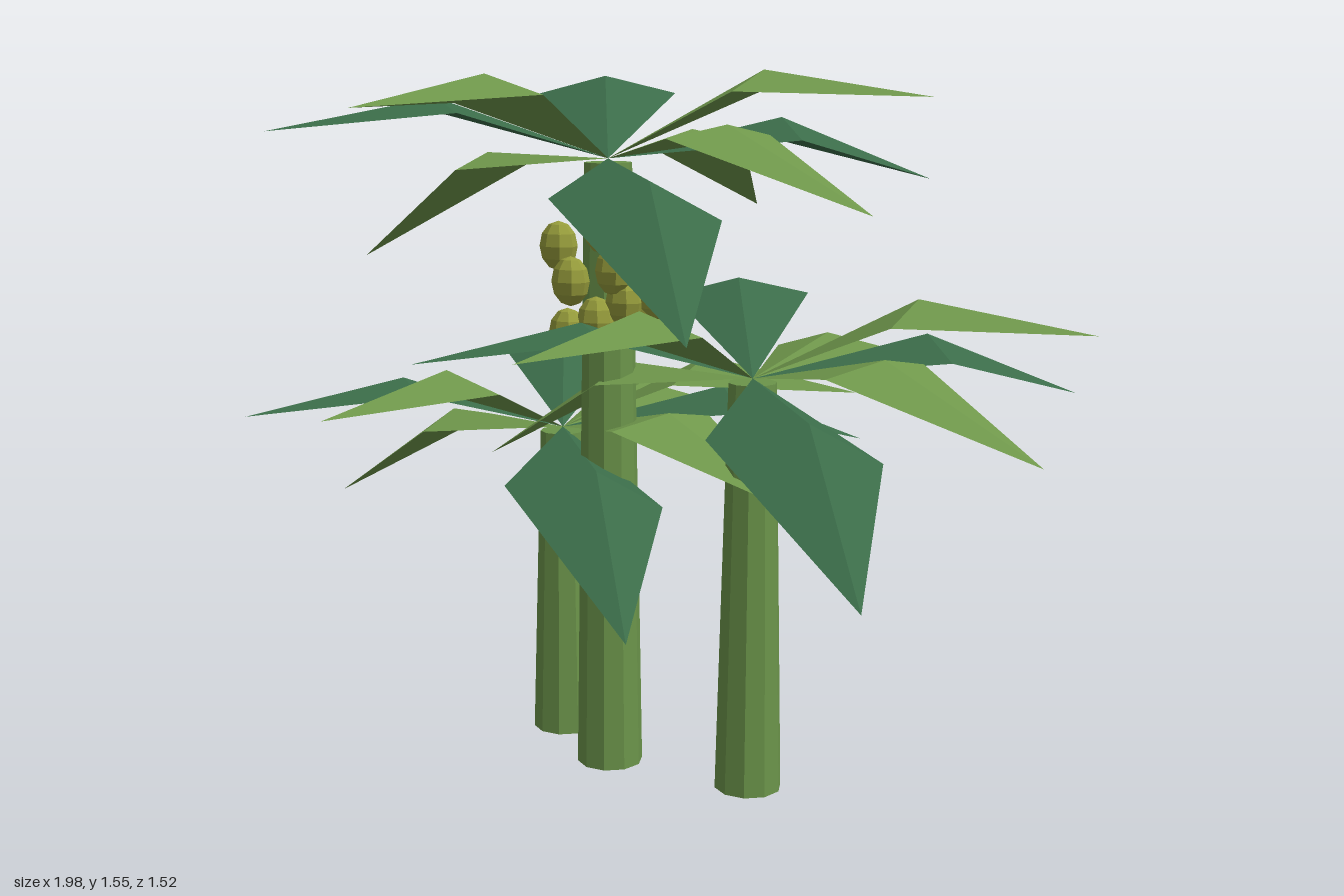
import * as THREE from 'three';

const mat = (name, color, side = THREE.FrontSide) =>
  new THREE.MeshStandardMaterial({ name, color, side, flatShading: true });

// Each frond is a folded blade: left corner, raised ridge, right corner, tip,
// all measured from the crown point.
const LIGHT_FRONDS = [
  [[-0.11, 0.12, 0.33], [0.025, 0.18, 0.36], [0.165, 0.14, 0.33], [0.055, 0.12, 0.71]],
  [[-0.355, -0.03, -0.08], [-0.34, 0.003, 0.05], [-0.295, -0.03, 0.18], [-0.715, -0.253, 0.12]],
  [[0.02, 0.025, -0.41], [-0.095, 0.05, -0.36], [-0.22, 0.01, -0.335], [-0.195, -0.146, -0.7]],
  [[0.315, 0.055, 0.145], [0.345, 0.08, 0], [0.34, 0.055, -0.135], [0.71, -0.082, -0.01]],
  [[0.365, 0.145, 0.01], [0.33, 0.187, -0.125], [0.27, 0.16, -0.25], [0.665, 0.135, -0.25]],
];
const DARK_FRONDS = [
  [[0.165, -0.06, 0.32], [0.315, -0.025, 0.19], [0.425, -0.1, 0.1], [0.6, -0.3, 0.38]],
  [[-0.29, 0.1, 0.25], [-0.195, 0.13, 0.31], [-0.1, 0.1, 0.33], [-0.335, 0.065, 0.64]],
  [[-0.18, 0.13, -0.39], [-0.265, 0.17, -0.245], [-0.38, 0.13, -0.145], [-0.53, 0.105, -0.488]],
  [[0.325, 0.04, -0.255], [0.215, 0.085, -0.315], [0.105, 0.04, -0.375], [0.425, -0.05, -0.573]],
];

function frondGeometry([left, ridge, right, tip]) {
  const base = [0, 0, 0];
  const faces = [base, left, ridge, base, ridge, right, left, tip, ridge, ridge, tip, right];
  const geo = new THREE.BufferGeometry();
  geo.setAttribute('position', new THREE.Float32BufferAttribute(faces.flat(), 3));
  geo.computeVertexNormals();
  return geo;
}

function addMesh(parent, name, geometry, material) {
  const mesh = new THREE.Mesh(geometry, material);
  mesh.name = name;
  parent.add(mesh);
  return mesh;
}

export function createModel() {
  const model = new THREE.Group();
  model.name = 'palmCluster';
  const trunkGreen = mat('trunkGreen', 0x6b944a);
  const lightLeaf = mat('lightLeaf', 0x6f974b, THREE.DoubleSide);
  const darkLeaf = mat('darkLeaf', 0x3b6c49, THREE.DoubleSide);
  const fruitOlive = mat('fruitOlive', 0x979d3c);

  // Three palms sharing one crown shape: x, z, crown height
  const palms = [['tallPalm', -0.05, 0.043, 1.36], ['shortPalm', -0.285, -0.033, 0.73], ['middlePalm', 0.275, -0.065, 0.91]];
  for (const [name, x, z, height] of palms) {
    const palm = new THREE.Group();
    palm.name = name;
    palm.position.set(x, 0, z);
    model.add(palm);

    const trunkHeight = height - 0.008;
    addMesh(palm, 'trunk', new THREE.CylinderGeometry(0.052, 0.074, trunkHeight, 10), trunkGreen)
      .position.y = trunkHeight / 2;

    const crown = new THREE.Group();
    crown.name = 'crown';
    crown.position.y = height;
    palm.add(crown);
    for (const f of LIGHT_FRONDS) addMesh(crown, 'lightFrond', frondGeometry(f), lightLeaf);
    for (const f of DARK_FRONDS) addMesh(crown, 'darkFrond', frondGeometry(f), darkLeaf);
  }

  // Hanging bunch of fruit beside the tall trunk
  const bunch = new THREE.Group();
  bunch.name = 'fruitBunch';
  model.add(bunch);
  const fruitGeo = new THREE.SphereGeometry(1, 8, 6).scale(0.044, 0.052, 0.036);
  const spots = [
    [0, 1.262, 0.115], [0.067, 1.225, 0.17], [0.147, 1.267, 0.115], [-0.025, 1.187, 0.21],
    [0.136, 1.171, 0.11], [0.024, 1.118, 0.222], [0.152, 1.09, 0.1], [0.1, 1.075, 0.14],
    [-0.013, 1.005, 0.197], [0.045, 1.032, 0.17], [0.12, 1.04, 0.095], [0.09, 1.14, 0.16],
  ];
  for (const p of spots) addMesh(bunch, 'fruit', fruitGeo, fruitOlive).position.set(...p);

  return model;
}
